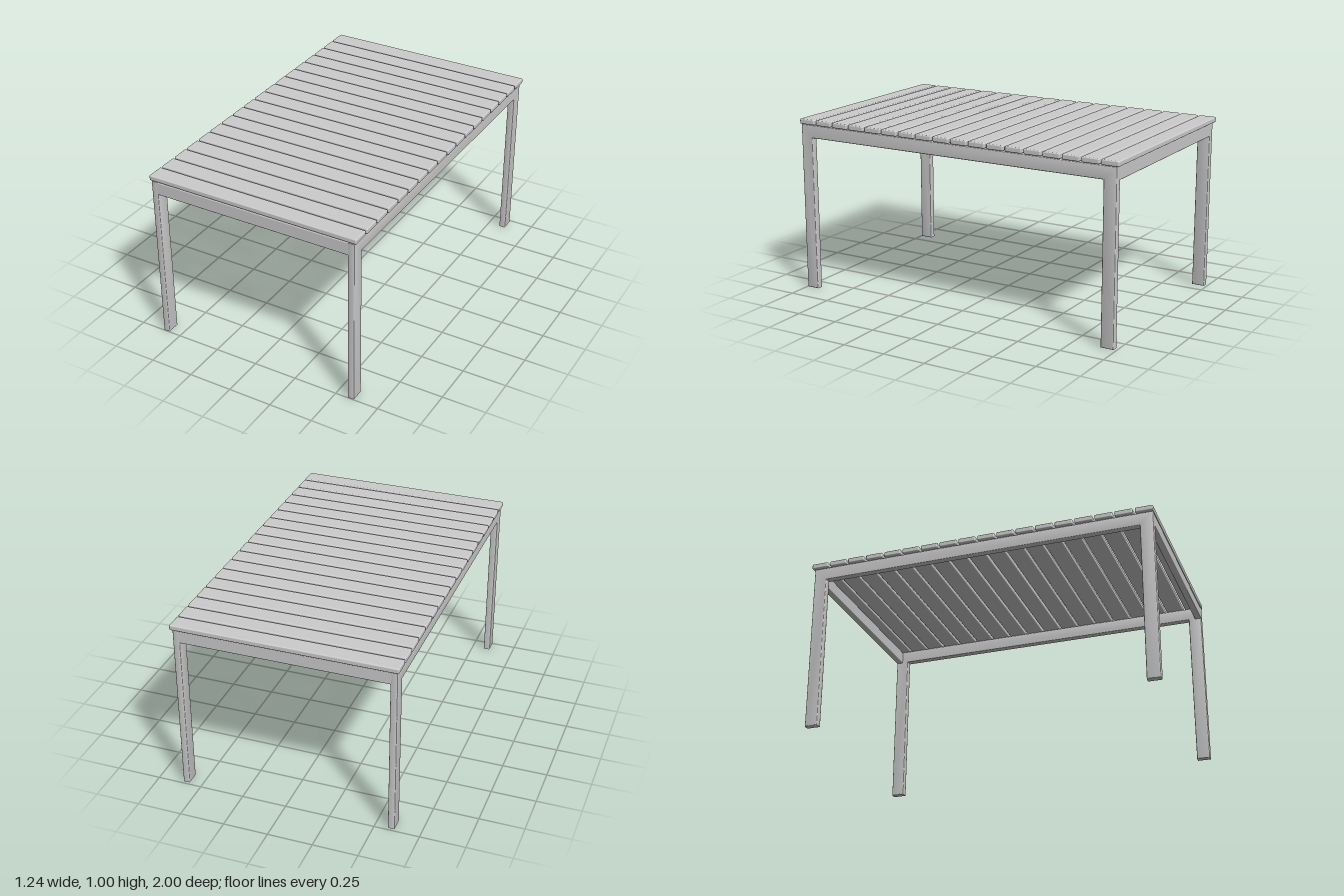
import * as THREE from 'three';
import { RoundedBoxGeometry } from 'three/addons/geometries/RoundedBoxGeometry.js';
import { toCreasedNormals } from 'three/addons/utils/BufferGeometryUtils.js';

const material = new THREE.MeshStandardMaterial({ color: 0xcccccc });

function add(parent, name, geometry, x, y, z) {
  const mesh = new THREE.Mesh(geometry, material);
  mesh.name = name;
  mesh.position.set(x, y, z);
  parent.add(mesh);
  return mesh;
}

// Upside-down U: two legs joined by a long rail, extruded across x with soft edges
function sideFrameGeometry(halfLength, legDepth, railBottom, railTop, thickness) {
  const b = 0.005;
  const outer = halfLength;
  const inner = halfLength - legDepth;
  const shape = new THREE.Shape([
    [-outer, 0], [-inner, 0], [-inner, railBottom], [inner, railBottom],
    [inner, 0], [outer, 0], [outer, railTop], [-outer, railTop],
  ].map(([z, y]) => new THREE.Vector2(z, y)));
  const geometry = new THREE.ExtrudeGeometry(shape, {
    depth: thickness - 2 * b,
    bevelEnabled: true, bevelThickness: b, bevelSize: b, bevelOffset: -b, bevelSegments: 3,
  });
  geometry.translate(0, 0, b - thickness / 2);
  geometry.rotateY(Math.PI / 2);
  return toCreasedNormals(geometry, 0.7);
}

export function createModel() {
  const table = new THREE.Group();
  table.name = 'slattedTable';

  // Frame: sits slightly forward under the slats
  const frame = new THREE.Group();
  frame.name = 'frame';
  frame.position.z = 0.006;
  table.add(frame);

  const halfLength = 0.991, railBottom = 0.893, railTop = 0.967, tube = 0.038;
  const sideGeometry = sideFrameGeometry(halfLength, 0.075, railBottom, railTop, tube);
  const endGeometry = new RoundedBoxGeometry(1.16, railTop - railBottom, tube, 3, 0.005);
  for (const s of [1, -1]) {
    add(frame, s > 0 ? 'leftLegsAndRail' : 'rightLegsAndRail', sideGeometry, s * 0.59, 0, 0);
    add(frame, s > 0 ? 'frontRail' : 'backRail', endGeometry,
      0, (railBottom + railTop) / 2, s * (halfLength - tube / 2));
  }

  // Top: evenly spaced cross slats
  const slats = new THREE.Group();
  slats.name = 'tableTop';
  table.add(slats);
  const count = 18, width = 0.1, pitch = (2 - width) / (count - 1);
  const slatGeometry = new RoundedBoxGeometry(1.24, 0.03, width, 3, 0.007);
  for (let i = 0; i < count; i++) {
    add(slats, 'slat', slatGeometry, 0, 0.985, -1 + width / 2 + i * pitch);
  }

  return table;
}
